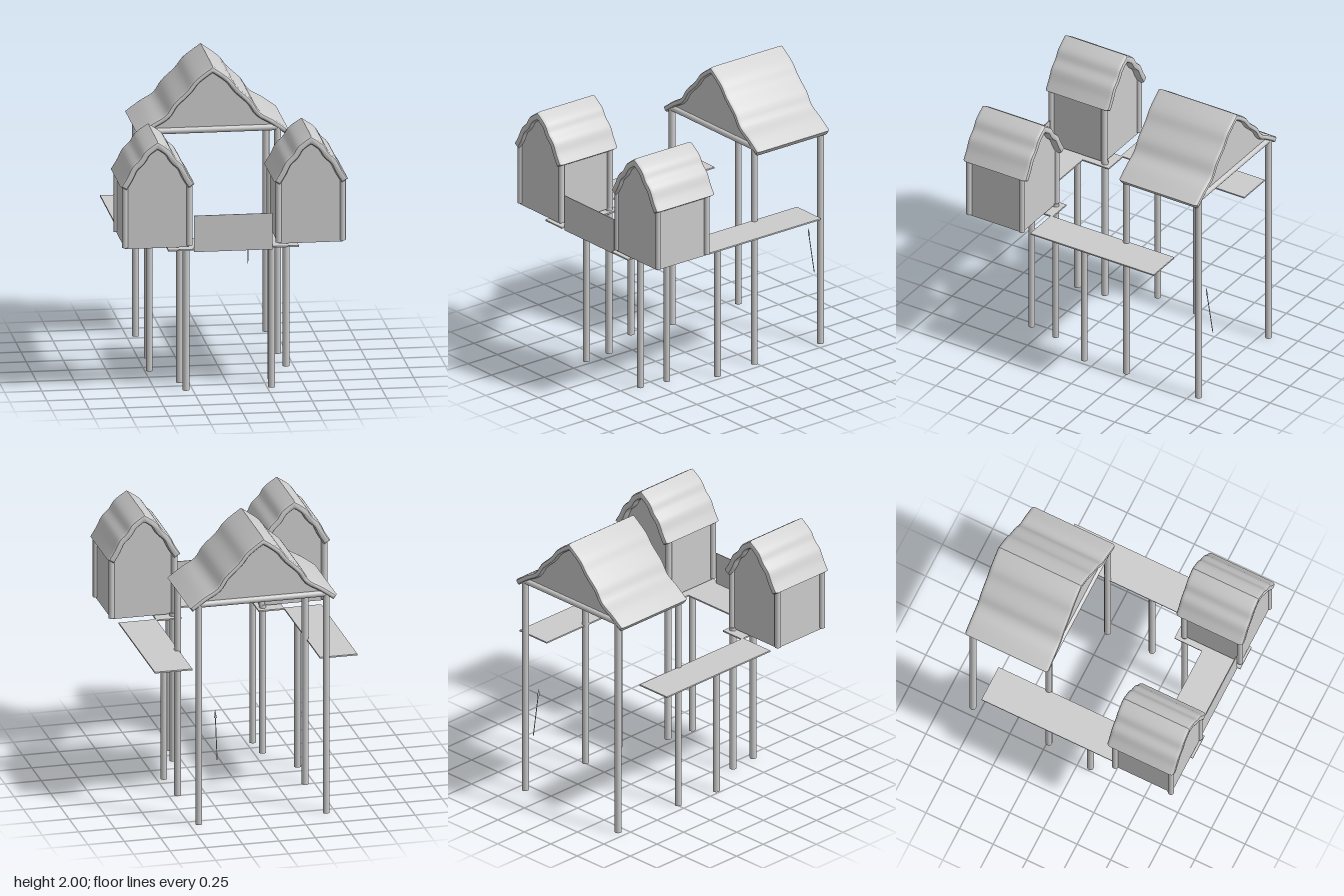
import * as THREE from 'three';
import { toCreasedNormals } from 'three/addons/utils/BufferGeometryUtils.js';

const grey = new THREE.MeshStandardMaterial({ color: 0xcccccc });
const greyThin = new THREE.MeshStandardMaterial({ color: 0xcccccc, side: THREE.DoubleSide });

function add(parent, name, geometry, x = 0, y = 0, z = 0, material = grey) {
  const mesh = new THREE.Mesh(geometry, material);
  mesh.name = name;
  mesh.position.set(x, y, z);
  parent.add(mesh);
  return mesh;
}

function box(parent, name, x0, x1, y0, y1, z0, z1) {
  return add(parent, name, new THREE.BoxGeometry(x1 - x0, y1 - y0, z1 - z0),
    (x0 + x1) / 2, (y0 + y1) / 2, (z0 + z1) / 2);
}

function post(parent, name, x, z, y0, y1, r = 0.023) {
  return add(parent, name, new THREE.CylinderGeometry(r, r, y1 - y0, 16), x, (y0 + y1) / 2, z);
}

// Wavy roof slope from ridge to eave, moved inwards by a distance
function slope(points, inset) {
  const curve = new THREE.SplineCurve(points.map(p => new THREE.Vector2(...p)));
  const result = [];
  for (let i = 0; i <= 24; i++) {
    const p = curve.getPoint(i / 24);
    const t = curve.getTangent(i / 24);
    if (i === 0) p.y -= inset * 1.25;
    else p.add(new THREE.Vector2(t.y, -t.x).multiplyScalar(inset));
    if (i === 0 || p.x > 0.004) result.push(p);
  }
  return result;
}

// Mirrors a slope into a full line from the -x eave to the +x eave
function mirrored(points) {
  const other = points.slice(1).reverse().map(p => new THREE.Vector2(-p.x, p.y));
  return [...other, ...points];
}

// Bevelled roof slab along z
function roof(parent, points, x, z0, z1, thickness) {
  const outline = [...mirrored(slope(points, 0)), ...mirrored(slope(points, thickness)).reverse()];
  const bevel = 0.025;
  const geometry = new THREE.ExtrudeGeometry(new THREE.Shape(outline), {
    depth: z1 - z0 - 2 * bevel, bevelThickness: bevel, bevelSize: 0.015,
    bevelOffset: -0.015, bevelSegments: 3,
  });
  add(parent, 'roof', toCreasedNormals(geometry, 0.5), x, 0, z0 + bevel);
}

// Thin end wall that fills the space below the roof
function gable(parent, points, thickness, halfWidth, shoulder, base, x, z) {
  const half = slope(points, thickness * 0.6).filter(p => p.x < halfWidth && p.y > shoulder);
  half.push(new THREE.Vector2(halfWidth, shoulder), new THREE.Vector2(halfWidth, base));
  add(parent, 'gableWall', new THREE.ShapeGeometry(new THREE.Shape(mirrored(half))), x, 0, z, greyThin);
}

// Small hut: open underneath, with round corner posts
function hut(cx) {
  const group = new THREE.Group();
  group.name = 'hut';
  const profile = [[0, 1.785], [0.085, 1.725], [0.125, 1.665], [0.175, 1.615], [0.21, 1.545], [0.25, 1.48]];
  roof(group, profile, cx, 0.352, 0.848, 0.05);
  for (const z of [0.4, 0.82]) gable(group, profile, 0.05, 0.215, 1.5, 1.045, cx, z);
  for (const side of [-1, 1]) {
    const wall = add(group, 'sideWall', new THREE.PlaneGeometry(0.42, 0.455),
      cx + side * 0.215, 1.2725, 0.61, greyThin);
    wall.rotation.y = side * Math.PI / 2;
    for (const z of [0.4, 0.815]) post(group, 'cornerPost', cx + side * 0.216, z, 1.055, 1.5, 0.021);
  }
  return group;
}

export function createModel() {
  const model = new THREE.Group();
  model.name = 'stiltHuts';

  // Two front huts
  model.add(hut(-0.518), hut(0.513));

  // Large open pavilion at the back
  const pavilion = new THREE.Group();
  pavilion.name = 'pavilion';
  model.add(pavilion);
  const profile = [[0, 2], [0.115, 1.915], [0.175, 1.84], [0.265, 1.755], [0.32, 1.675], [0.41, 1.62], [0.507, 1.55]];
  roof(pavilion, profile, 0, -0.835, -0.215, 0.04);
  for (const z of [-0.24, -0.805]) {
    gable(pavilion, profile, 0.04, 0.43, 1.57, 1.555, 0, z);
    const beam = add(pavilion, 'beam', new THREE.CylinderGeometry(0.021, 0.021, 0.9, 16), 0, 1.56, z);
    beam.rotation.z = Math.PI / 2;
    for (const x of [-0.438, 0.438]) post(pavilion, 'tallPost', x, z, 0, 1.56);
  }

  // Stilts below the huts and walkways
  const stilts = [[-0.295, 0.605], [-0.31, 0.4], [-0.47, 0.085], [0.28, 0.605], [0.305, 0.4], [0.45, 0.085]];
  for (const [x, z] of stilts) post(model, 'stilt', x, z, 0, z === 0.4 ? 1.055 : 1.025);

  // Walkways, landings and front screen
  const y0 = 1.022, y1 = 1.032;
  box(model, 'sideWalkway', -0.703, -0.446, y0, y1, -0.61, 0.36);
  box(model, 'sideWalkway', 0.432, 0.689, y0, y1, -0.61, 0.36);
  box(model, 'landing', -0.446, -0.27, y0, y1, 0.345, 0.835);
  box(model, 'landing', 0.26, 0.432, y0, y1, 0.345, 0.835);
  box(model, 'frontWalkway', -0.27, 0.26, y0, y1, 0.55, 0.805);
  box(model, 'frontScreen', -0.27, 0.258, 1.005, 1.255, 0.805, 0.811);

  // Thin spear leaning behind the pavilion post
  const spear = new THREE.Group();
  spear.name = 'spear';
  add(spear, 'shaft', new THREE.CylinderGeometry(0.003, 0.003, 0.29, 8), 0, 0.145, 0);
  add(spear, 'spearHead', new THREE.ConeGeometry(0.01, 0.06, 4), 0, 0.315, 0);
  spear.position.set(0.322, 0.46, -0.845);
  spear.rotation.x = 0.16;
  model.add(spear);

  return model;
}
